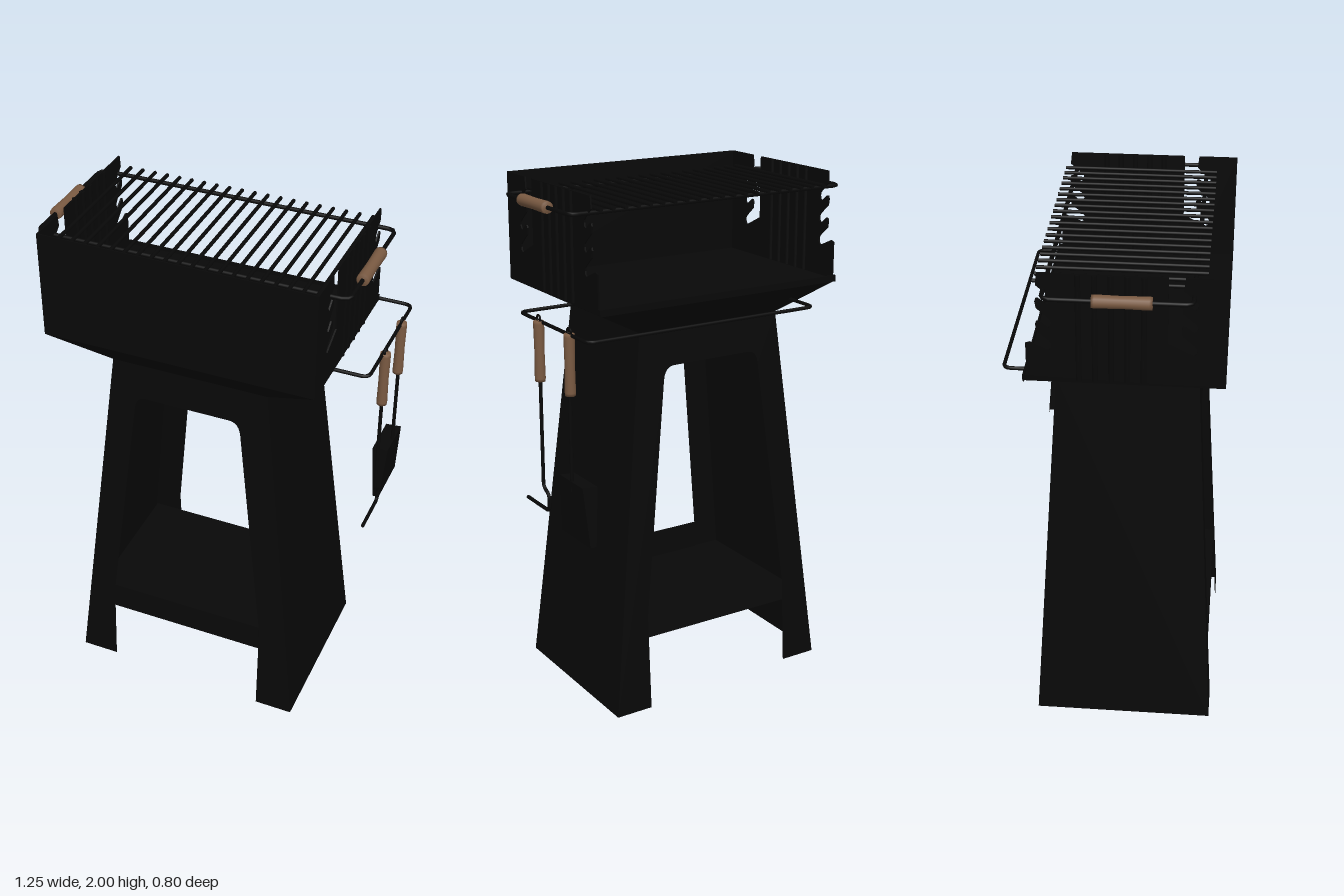
import * as THREE from 'three';

const steel = new THREE.MeshStandardMaterial({ color: 0x080808, side: THREE.DoubleSide });
steel.name = 'blackSteel';
const wood = new THREE.MeshStandardMaterial({ color: 0x7a5a42 });
wood.name = 'wood';

const V = (x, y, z) => new THREE.Vector3(x, y, z);

function add(parent, name, geometry, material = steel) {
  const mesh = new THREE.Mesh(geometry, material);
  mesh.name = name;
  parent.add(mesh);
  return mesh;
}

// flat four-cornered sheet
function sheet(a, b, c, d) {
  const g = new THREE.BufferGeometry().setFromPoints([a, b, c, a, c, d]);
  g.computeVertexNormals();
  return g;
}

function box(w, h, d, x, y, z) {
  return new THREE.BoxGeometry(w, h, d).translate(x, y, z);
}

// round wire through corner points, each bend rounded by radius r
function wire(points, radius, r, closed = false) {
  const path = new THREE.CurvePath();
  const n = points.length;
  const toward = (a, b) => a.clone().add(b.clone().sub(a).setLength(r));
  let last = closed ? toward(points[0], points[1]) : points[0];
  for (let i = 1; i < (closed ? n + 1 : n - 1); i++) {
    const p = points[i % n];
    const enter = toward(p, points[i - 1]);
    const leave = toward(p, points[(i + 1) % n]);
    path.add(new THREE.LineCurve3(last, enter));
    path.add(new THREE.QuadraticBezierCurve3(enter, p, leave));
    last = leave;
  }
  if (!closed) path.add(new THREE.LineCurve3(last, points[n - 1]));
  return new THREE.TubeGeometry(path, 160, radius, 8, closed);
}

// gently waisted wooden grip along y
function grip(length, r) {
  const h = length / 2;
  const profile = [[0, -h], [r * 0.95, -h], [r, -h * 0.9], [r * 0.92, 0], [r, h * 0.9], [r * 0.95, h], [0, h]];
  return new THREE.LatheGeometry(profile.map(([x, y]) => new THREE.Vector2(x, y)), 16);
}

function makeStand() {
  const stand = new THREE.Group();
  stand.name = 'stand';
  const frontZ = (y) => 0.39 - (0.085 * y) / 1.48;
  const backZ = (y) => -0.297 + (0.087 * y) / 1.48;

  // front and back frames, leaning inward with height
  const s = new THREE.Shape();
  s.moveTo(-0.485, 0.03);
  s.lineTo(-0.32, 1.48);
  s.lineTo(0.285, 1.48);
  s.lineTo(0.445, 0);
  s.lineTo(0.295, 0);
  s.lineTo(0.295, 0.38);
  s.lineTo(0.187, 1.29);
  s.quadraticCurveTo(0.18, 1.34, 0.14, 1.34);
  s.lineTo(-0.19, 1.34);
  s.quadraticCurveTo(-0.23, 1.34, -0.235, 1.29);
  s.lineTo(-0.337, 0.38);
  s.lineTo(-0.337, 0.03);
  for (const [name, zAt] of [['frontFrame', frontZ], ['backFrame', backZ]]) {
    const g = new THREE.ShapeGeometry(s, 6);
    const p = g.attributes.position;
    for (let i = 0; i < p.count; i++) p.setZ(i, zAt(p.getY(i)));
    g.computeVertexNormals();
    add(stand, name, g);
  }

  // side panels
  for (const [name, xLow, yLow, xTop] of [['leftPanel', 0.445, 0, 0.285], ['rightPanel', -0.485, 0.03, -0.32]]) {
    add(stand, name, sheet(V(xLow, yLow, frontZ(yLow)), V(xLow, yLow, backZ(yLow)),
      V(xTop, 1.48, backZ(1.48)), V(xTop, 1.48, frontZ(1.48))));
  }

  // low shelf with an upright front lip
  add(stand, 'shelf', sheet(V(-0.452, 0.293, 0.372), V(0.41, 0.293, 0.372), V(0.41, 0.293, -0.279), V(-0.452, 0.293, -0.279)));
  add(stand, 'shelfLip', box(0.632, 0.115, 0.006, -0.021, 0.3475, 0.368));
  return stand;
}

// rising teeth with rounded slots between them; z is the slot end
function teeth(z) {
  return [1.9, 1.815, 1.73].flatMap((y) => [
    [z - 0.05, y + 0.055], [z - 0.01, y + 0.021], [z - 0.001, y + 0.01], [z, y], [z - 0.003, y - 0.012], [z - 0.012, y - 0.018],
    ...(y > 1.75 ? [[z - 0.042, y + 0.006], [z - 0.05, y + 0.006], [z - 0.054, y - 0.005]] : []),
  ]);
}

// side wall with slots that hold the grate at several heights
function sideWall() {
  const pts = [[0.4, 1.59], [0.4, 2], [0.255, 2], ...teeth(0.3), [0.2, 1.755], [0.2, 2], [-0.235, 2], ...teeth(-0.19),
    [-0.265, 1.74], [-0.28, 1.735], [-0.28, 1.61], [-0.295, 1.61], [-0.295, 1.59]];
  const shape = new THREE.Shape(pts.map(([z, y]) => new THREE.Vector2(-z, y)));
  return new THREE.ExtrudeGeometry(shape, { depth: 0.006, bevelEnabled: false })
    .translate(0, 0, -0.003).rotateY(Math.PI / 2);
}

function makeFirebox() {
  const fire = new THREE.Group();
  fire.name = 'firebox';
  add(fire, 'frontWall', box(1.034, 0.41, 0.006, -0.024, 1.795, 0.397));
  add(fire, 'floor', box(1.034, 0.006, 0.69, -0.024, 1.593, 0.053));
  add(fire, 'backLip', box(1.034, 0.025, 0.006, -0.024, 1.598, -0.292));

  for (const [side, x] of [['left', 0.49], ['right', -0.538]]) {
    add(fire, side + 'Wall', sideWall()).position.x = x;
    // upright ribs pressed into the wall
    for (let i = 0; i < 5; i++) {
      add(fire, side + 'Rib', new THREE.CylinderGeometry(0.011, 0.011, 0.4, 8)
        .translate(x, 1.798, -0.1 + i * 0.055));
    }
  }

  // sloping hopper between box and stand
  const ring = (x0, x1, z0, z1, y) => [V(x0, y, z1), V(x1, y, z1), V(x1, y, z0), V(x0, y, z0)];
  const top = ring(-0.541, 0.493, -0.295, 0.4, 1.59);
  const low = ring(-0.32, 0.285, -0.21, 0.305, 1.48);
  for (let i = 0; i < 4; i++) {
    const j = (i + 1) % 4;
    add(fire, 'hopperSide', sheet(low[i], low[j], top[j], top[i]));
  }
  return fire;
}

function makeGrate() {
  const grate = new THREE.Group();
  grate.name = 'grate';
  const y = 1.937;
  add(grate, 'grateFrame', wire([V(-0.604, y, 0.285), V(0.558, y, 0.285), V(0.558, y, -0.215), V(-0.604, y, -0.215)], 0.008, 0.03, true));
  for (let i = 0; i < 20; i++) {
    add(grate, 'grateBar', new THREE.CylinderGeometry(0.007, 0.007, 0.58, 8)
      .rotateX(Math.PI / 2).translate(-0.5 + i * 0.0505, y + 0.013, 0.035));
  }
  for (const x of [-0.604, 0.558]) {
    add(grate, 'grateHandle', grip(0.2, 0.023).rotateX(Math.PI / 2).translate(x, y, 0.052), wood);
  }
  return grate;
}

function makeTools() {
  const tools = new THREE.Group();
  tools.name = 'tools';
  const y = 1.53;
  add(tools, 'toolRail', wire([V(-0.362, y, -0.24), V(-0.362, y, -0.391), V(0.595, y, -0.391),
    V(0.595, y, 0.122), V(0.36, y, 0.122)], 0.007, 0.03));

  for (const [x, z] of [[0.597, -0.257], [0.604, -0.042]]) {
    add(tools, 'toolHandle', grip(0.225, 0.02).translate(x, 1.422, z), wood);
    add(tools, 'toolHook', new THREE.TorusGeometry(0.013, 0.004, 6, 12).rotateY(Math.PI / 2).translate(x, 1.542, z));
  }

  // turner: shaft and folded blade
  add(tools, 'turnerShaft', new THREE.CylinderGeometry(0.007, 0.007, 0.38, 8).translate(0.599, 1.14, -0.257));
  const a = V(0.606, 0.99, -0.177), b = V(0.606, 0.99, -0.347);
  const c = V(0.59, 0.765, -0.368), d = V(0.59, 0.765, -0.156);
  const e = V(0.545, 0.985, -0.177), f = V(0.545, 0.985, -0.347);
  add(tools, 'turnerBlade', sheet(a, b, c, d));
  add(tools, 'turnerTop', sheet(a, b, f, e));
  for (const [p, q, r] of [[a, d, e], [b, c, f]]) {
    add(tools, 'turnerFlange', sheet(p, q, V(0.565, 0.765, q.z), r));
  }

  // poker with bent foot
  add(tools, 'poker', wire([V(0.604, 1.33, -0.042), V(0.604, 0.9, -0.042), V(0.604, 0.88, -0.085),
    V(0.604, 0.815, -0.085), V(0.604, 0.815, 0.09)], 0.007, 0.02));
  return tools;
}

export function createModel() {
  const model = new THREE.Group();
  model.name = 'barbecue';
  model.add(makeStand(), makeFirebox(), makeGrate(), makeTools());
  return model;
}
